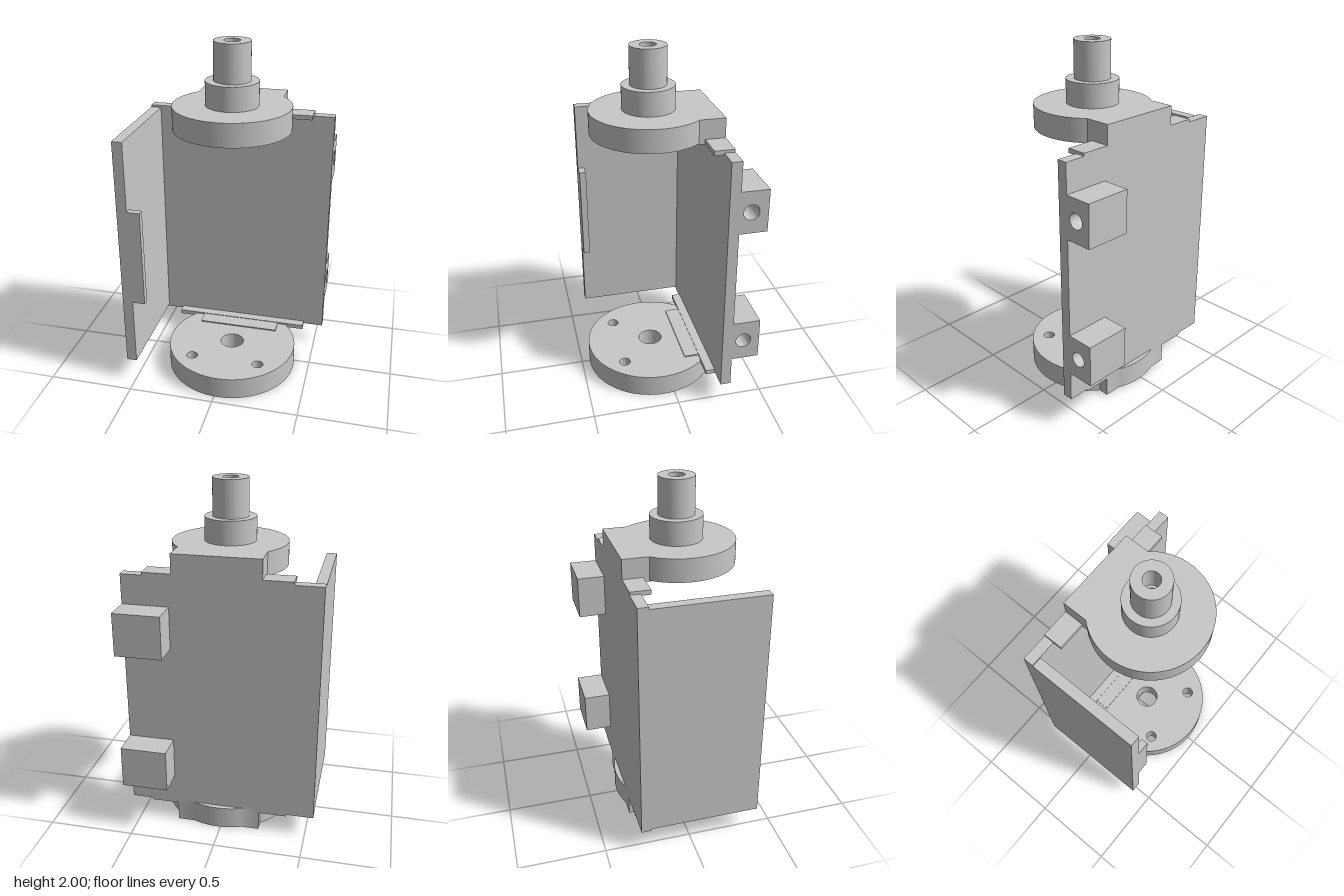
import * as THREE from 'three';
import { toCreasedNormals } from 'three/addons/utils/BufferGeometryUtils.js';

const AX = 0.02, AZ = 0.063;      // axis of the discs and shaft
const BACK = -0.297;              // rear face of the back plate

export function createModel() {
  const model = new THREE.Group();
  model.name = 'hingedBracket';
  const steel = new THREE.MeshStandardMaterial({ color: 0xc8c8c8 });
  steel.name = 'light grey steel';

  const add = (name, geometry, parent = model) => {
    const mesh = new THREE.Mesh(geometry, steel);
    mesh.name = name;
    parent.add(mesh);
    return mesh;
  };

  // Box given by its limits on each axis
  const box = (name, x0, x1, y0, y1, z0, z1, parent) => {
    const g = new THREE.BoxGeometry(x1 - x0, y1 - y0, z1 - z0);
    g.translate((x0 + x1) / 2, (y0 + y1) / 2, (z0 + z1) / 2);
    return add(name, g, parent);
  };

  const circle = (x, y, r) => new THREE.Path().absarc(x, y, r, 0, Math.PI * 2, true);

  const extrude = (shape, depth) =>
    new THREE.ExtrudeGeometry(shape, { depth, bevelEnabled: false, curveSegments: 48 });

  // Disc with a straight-sided tab reaching the back plate
  const tabbedDisc = (name, r, y0, y1, holes) => {
    const w = 0.245, t = AZ - BACK, a = Math.acos(w / r);
    const s = new THREE.Shape();
    s.absarc(0, 0, r, -a, Math.PI + a, false);
    s.lineTo(-w, -t);
    if (r > t) {
      const b = Math.asin(t / r);
      s.absarc(0, 0, r, Math.PI + b, Math.PI * 2 - b, false);
    }
    s.lineTo(w, -t);
    s.closePath();
    s.holes = holes.map(([x, z, hr]) => circle(x, z, hr));
    const g = extrude(s, y1 - y0);
    g.rotateX(Math.PI / 2);
    g.translate(AX, y1, AZ);
    add(name, toCreasedNormals(g, 0.5));
  };

  // Base flange with centre bore and four bolt holes
  const bolts = [[1, 1], [1, -1], [-1, 1], [-1, -1]].map(([i, j]) => [i * 0.202, j * 0.202, 0.033]);
  tabbedDisc('baseFlange', 0.388, 0, 0.132, [[0, 0, 0.07], ...bolts]);

  // Top flange
  tabbedDisc('topFlange', 0.326, 1.525, 1.656, []);

  // Stepped shaft with a blind bore in its end
  const profile = [
    [0, 1.65], [0.146, 1.65], [0.146, 1.79], [0.101, 1.79], [0.101, 2],
    [0.044, 2], [0.044, 1.85], [0.03, 1.85], [0.03, 1.8], [0, 1.8],
  ].map(([x, y]) => new THREE.Vector2(x, y));
  const shaft = new THREE.LatheGeometry(profile, 64);
  shaft.translate(AX, 0, AZ);
  add('shaft', toCreasedNormals(shaft, 0.5));

  // Back plate, side plate and its front lip
  box('backPlate', -0.547, 0.547, 0.127, 1.53, BACK, -0.238);
  box('sidePlate', -0.547, -0.488, 0.14, 1.517, -0.238, 0.403);
  box('sideLip', -0.488, -0.415, 0.545, 1.117, 0.364, 0.403);

  // Ledges and thin pads that join the plate to each flange
  box('topLedge', -0.388, 0.427, 1.52, 1.546, BACK, -0.185);
  box('bottomLedge', -0.388, 0.427, 0.115, 0.142, BACK, -0.185);
  box('topPad', -0.225, 0.265, 1.52, 1.527, -0.185, -0.098);
  box('bottomPad', -0.225, 0.265, 0.13, 0.139, -0.185, -0.098);

  // Hinge blocks: stepped blind hole entering from the outer side
  for (const [name, y0] of [['lowerHingeBlock', 0.302], ['upperHingeBlock', 1.117]]) {
    const block = new THREE.Group();
    block.name = name;
    model.add(block);
    const y1 = y0 + 0.244, z0 = -0.453;
    box('blockEnd', 0.282, 0.34, y0, y1, z0, BACK, block);
    for (const [part, x0, x1, r] of [['blockPilot', 0.34, 0.39, 0.033], ['blockBore', 0.39, 0.547, 0.044]]) {
      const s = new THREE.Shape();
      s.moveTo(-BACK, y0).lineTo(-z0, y0).lineTo(-z0, y1).lineTo(-BACK, y1).closePath();
      s.holes.push(circle(0.36, (y0 + y1) / 2, r));
      const g = extrude(s, x1 - x0);
      g.rotateY(Math.PI / 2);
      g.translate(x0, 0, 0);
      add(part, toCreasedNormals(g, 0.5), block);
    }
  }

  return model;
}
